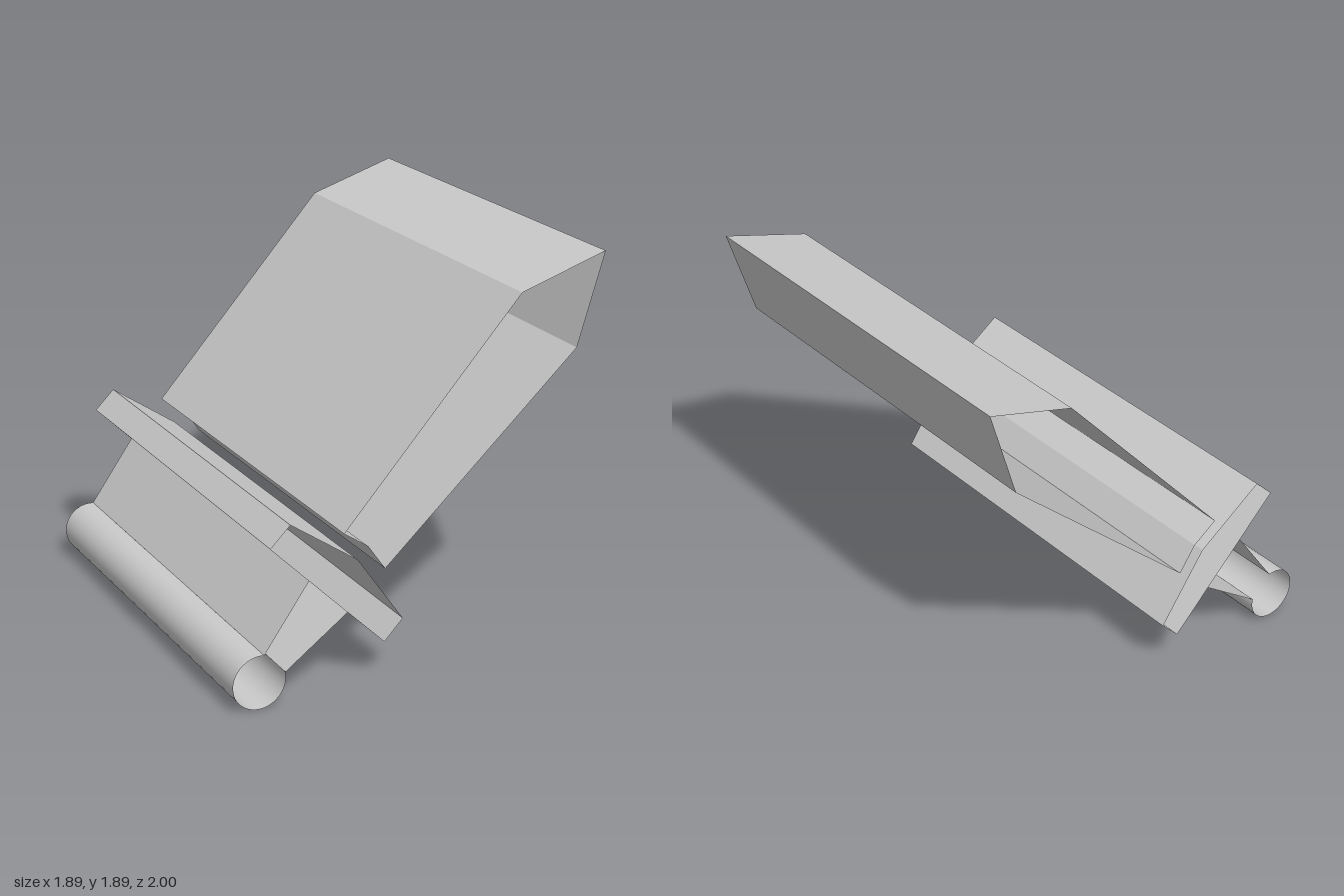
import * as THREE from 'three';

const AXIS = 0.945; // the outline is symmetric about the diagonal y = x + AXIS
const HALF = 1; // half depth along z

const mirror = ([x, y]) => [y - AXIS, x + AXIS];

const material = new THREE.MeshStandardMaterial({ color: 0xcccccc, side: THREE.DoubleSide });

// Open-ended sheet: sweeps a counter-clockwise outline along z, one flat quad per edge
function sweep(name, points, closed) {
  const pos = [];
  const count = closed ? points.length : points.length - 1;
  for (let i = 0; i < count; i++) {
    const [ax, ay] = points[i];
    const [bx, by] = points[(i + 1) % points.length];
    pos.push(ax, ay, HALF, ax, ay, -HALF, bx, by, -HALF);
    pos.push(ax, ay, HALF, bx, by, -HALF, bx, by, HALF);
  }
  const geo = new THREE.BufferGeometry();
  geo.setAttribute('position', new THREE.Float32BufferAttribute(pos, 3));
  geo.computeVertexNormals();
  const mesh = new THREE.Mesh(geo, material);
  mesh.name = name;
  return mesh;
}

export function createModel() {
  const group = new THREE.Group();
  group.name = 'daggerProfile';

  // Blade: pointed tip, slight taper and a notched base
  const base = [-0.18, 0.555], shoulder = [0.809, 1.45];
  const tip = [0.945, 1.89], notch = [-0.266, 0.679];
  group.add(sweep('blade', [base, shoulder, tip, mirror(shoulder), mirror(base), notch], true));

  // Crossguard: flat underside, low peak facing the blade
  const guardLow = [-0.18, 0.19], guardHigh = [-0.085, 0.288], peak = [-0.32, 0.625];
  group.add(sweep('crossguard', [guardLow, guardHigh, peak, mirror(guardHigh), mirror(guardLow)], true));

  // Grip: two walls narrowing from the guard to the pommel
  const gripEnd = [-0.685, 0.155], gripTop = [-0.37, 0.38];
  group.add(sweep('gripLowerWall', [gripEnd, gripTop], false));
  group.add(sweep('gripUpperWall', [mirror(gripTop), mirror(gripEnd)], false));

  // Pommel: round tube, open where the grip enters
  const r = 0.131;
  const gap = 1.2;
  const tube = new THREE.CylinderGeometry(
    r, r, 2 * HALF, 28, 1, true, Math.PI * 0.75 + gap / 2, Math.PI * 2 - gap);
  tube.rotateX(Math.PI / 2);
  const pommel = new THREE.Mesh(tube, material);
  pommel.position.set(r - AXIS, r, 0);
  pommel.name = 'pommel';
  group.add(pommel);

  return group;
}
